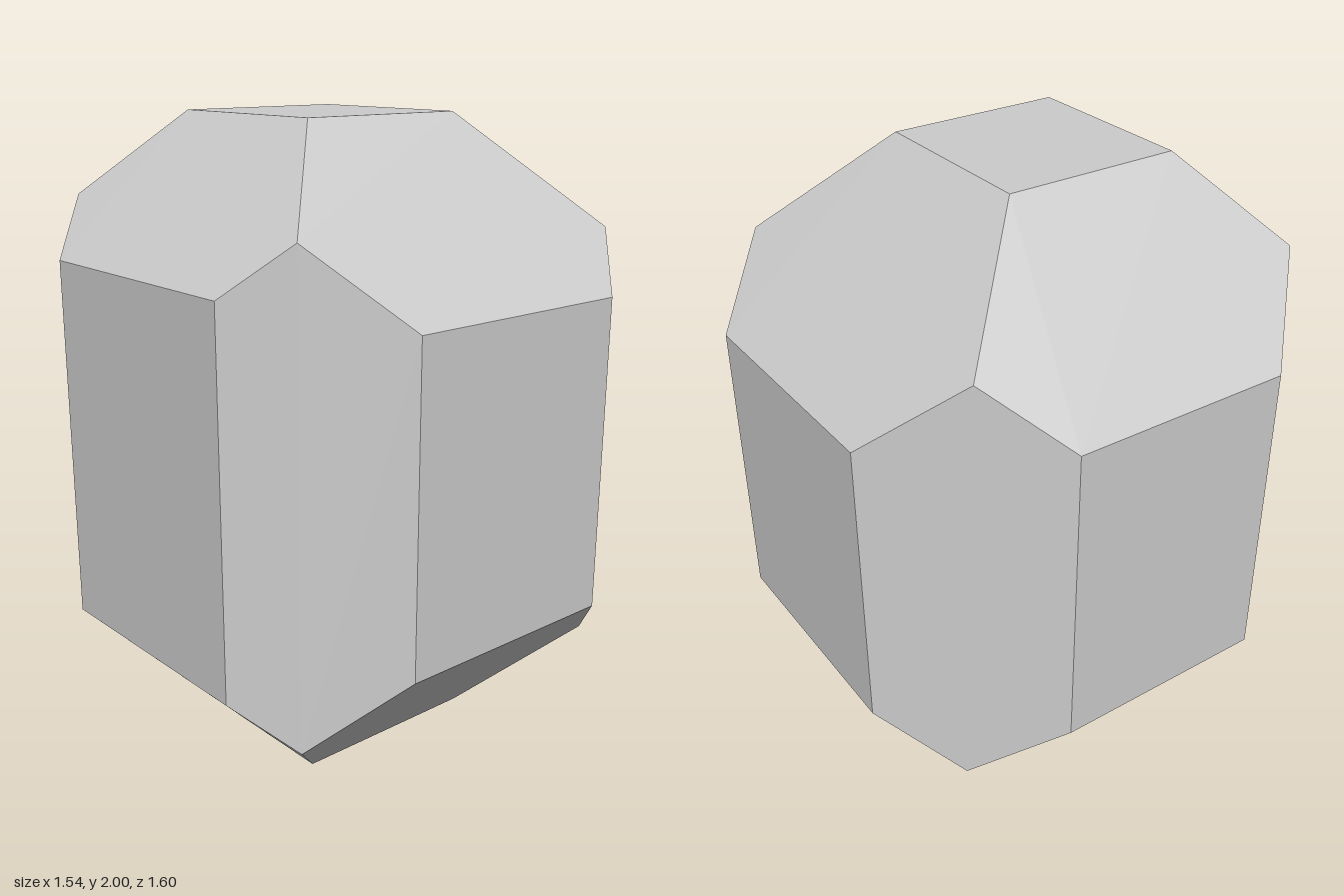
import * as THREE from 'three';
import { ConvexGeometry } from 'three/addons/geometries/ConvexGeometry.js';

// Flat faces of the block: axis, position on it, and the range over the other two axes (in x, y, z order)
const FACES = [
  { axis: 'z', at: 0.8, a: [-0.4, 0.365], b: [0.51, 1.49] },    // front
  { axis: 'z', at: -0.8, a: [-0.36, 0.34], b: [0.52, 1.5] },    // back
  { axis: 'x', at: 0.77, a: [0.5, 1.445], b: [-0.38, 0.4] },    // left
  { axis: 'x', at: -0.775, a: [0.42, 1.57], b: [-0.38, 0.43] }, // right
  { axis: 'y', at: 2, a: [-0.35, 0.21], b: [-0.3, 0.285] },     // top
  { axis: 'y', at: 0, a: [-0.36, 0.275], b: [-0.28, 0.3] },     // bottom
];

// Points where three bevels meet
const CORNERS = [
  [0.54, 1.66, 0.625], [-0.625, 1.72, 0.58], [0.535, 1.68, -0.61], [-0.6, 1.74, -0.56],
  [0.565, 0.3, 0.6], [-0.625, 0.275, 0.58], [0.565, 0.3, -0.58], [-0.6, 0.27, -0.56],
];

function faceCorners({ axis, at, a, b }) {
  const place = {
    x: (u, v) => new THREE.Vector3(at, u, v),
    y: (u, v) => new THREE.Vector3(u, at, v),
    z: (u, v) => new THREE.Vector3(u, v, at),
  }[axis];
  return a.flatMap((u) => b.map((v) => place(u, v)));
}

export function createModel() {
  const group = new THREE.Group();
  group.name = 'bevelledStone';

  // Convex stone: a tall block with all twelve edges cut off
  const points = [
    ...FACES.flatMap(faceCorners),
    ...CORNERS.map((c) => new THREE.Vector3(...c)),
  ];
  const stone = new THREE.Mesh(
    new ConvexGeometry(points),
    new THREE.MeshStandardMaterial({ color: 0xcccccc, flatShading: true }),
  );
  stone.name = 'stone';
  group.add(stone);
  return group;
}
